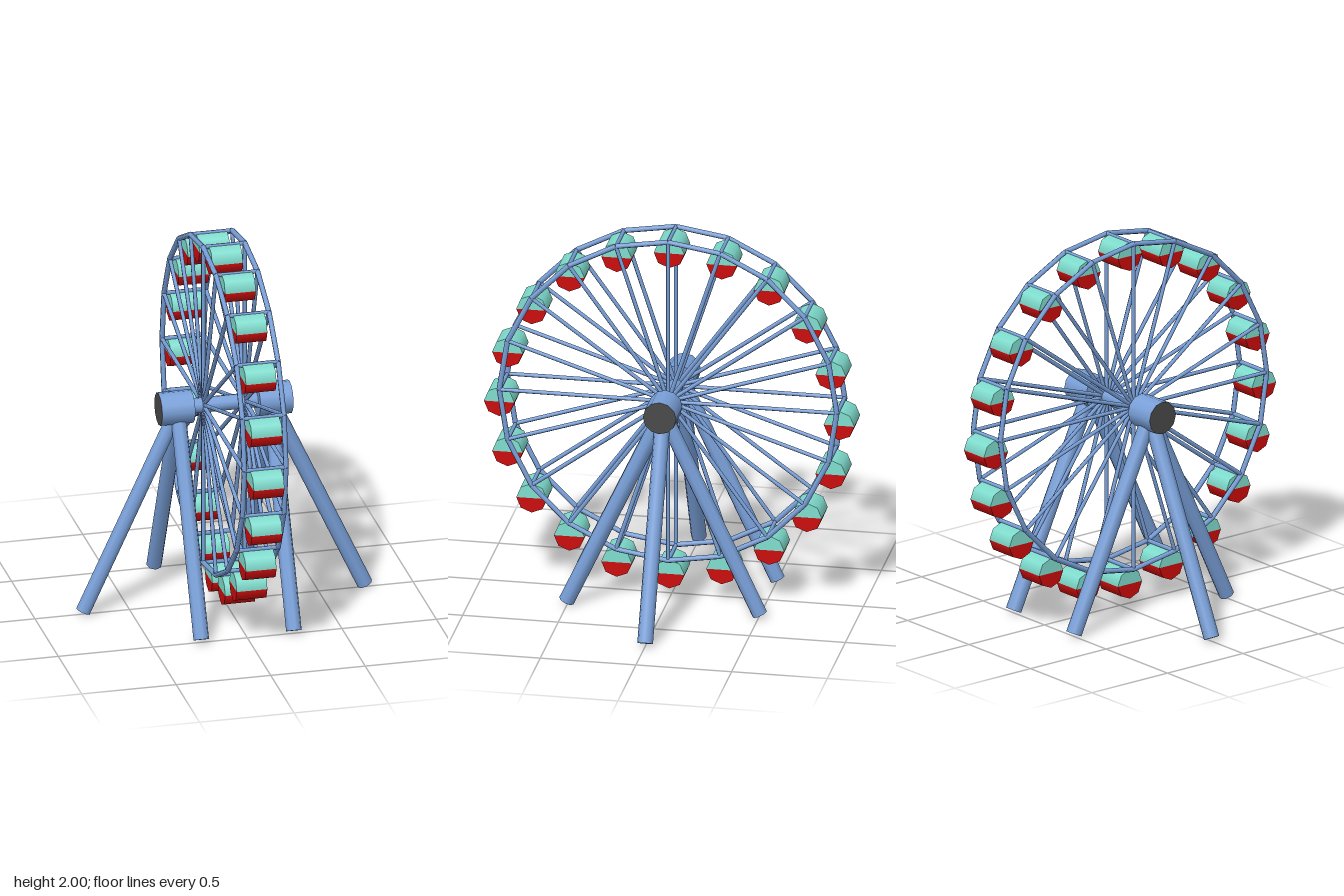
import * as THREE from 'three';

const COUNT = 20;        // spokes, rim corners and cabins
const AXLE_Y = 1.106;    // height of the wheel centre
const RIM_R = 0.882;
const RIM_X = 0.11;      // half the distance between the two rims
const CABIN_R = 0.08;
const CABIN_DROP = 0.08; // cabins hang below the rim corners

const mat = (name, color) => {
  const m = new THREE.MeshStandardMaterial({ color });
  m.name = name;
  return m;
};

export function createModel() {
  const blue = mat('steelBlue', 0x7aa1da);
  const dark = mat('darkGrey', 0x4a4a4a);
  const teal = mat('teal', 0x80decf);
  const red = mat('red', 0xcc0c0c);

  const model = new THREE.Group();
  model.name = 'ferrisWheel';

  const up = new THREE.Vector3(0, 1, 0);

  // round bar between two points
  const bar = (parent, name, a, b, r, sides, material = blue) => {
    const dir = b.clone().sub(a);
    const geo = new THREE.CylinderGeometry(r, r, dir.length(), sides);
    const mesh = new THREE.Mesh(geo, material);
    mesh.name = name;
    mesh.position.copy(a).add(b).multiplyScalar(0.5);
    mesh.quaternion.setFromUnitVectors(up, dir.normalize());
    parent.add(mesh);
  };

  const v = (x, y, z) => new THREE.Vector3(x, y, z);
  const corner = (x, i, r = RIM_R) => {
    const a = (i / COUNT) * Math.PI * 2;
    return v(x, AXLE_Y + r * Math.cos(a), r * Math.sin(a));
  };

  // wheel: two polygonal rims with spokes, joined by cross bars
  const wheel = new THREE.Group();
  wheel.name = 'wheel';
  model.add(wheel);
  for (let i = 0; i < COUNT; i++) {
    for (const x of [-RIM_X, RIM_X]) {
      bar(wheel, 'rimSegment', corner(x, i), corner(x, i + 1), 0.014, 6);
      bar(wheel, 'spoke', v(x, AXLE_Y, 0), corner(x, i), 0.011, 6);
    }
    bar(wheel, 'crossBar', corner(-RIM_X, i), corner(RIM_X, i), 0.011, 6);
  }
  bar(wheel, 'axle', v(-0.2, AXLE_Y, 0), v(0.2, AXLE_Y, 0), 0.04, 12);

  // cabins: octagonal drums lying along x, teal roof half and red lower half
  const half = (start) => new THREE.CylinderGeometry(
    CABIN_R, CABIN_R, 0.162, 4, 1, false, start, Math.PI).rotateZ(Math.PI / 2);
  const lowerGeo = half(Math.PI);
  const roofGeo = half(0);
  // the half whose vertices lie above the centre is the roof
  roofGeo.computeBoundingBox();
  const swap = roofGeo.boundingBox.max.y < CABIN_R / 2;
  for (let i = 0; i < COUNT; i++) {
    const cabin = new THREE.Group();
    cabin.name = 'cabin';
    cabin.position.copy(corner(0, i, 0.888));
    cabin.position.y -= CABIN_DROP;
    const roof = new THREE.Mesh(swap ? lowerGeo : roofGeo, teal);
    roof.name = 'cabinRoof';
    const tub = new THREE.Mesh(swap ? roofGeo : lowerGeo, red);
    tub.name = 'cabinTub';
    cabin.add(roof, tub);
    model.add(cabin);
  }

  // supports on both sides: hub with dark outer cap and three legs
  for (const s of [-1, 1]) {
    const support = new THREE.Group();
    support.name = s > 0 ? 'leftSupport' : 'rightSupport';
    bar(support, 'hub', v(s * 0.172, AXLE_Y, 0), v(s * 0.347, AXLE_Y, 0),
      0.087, 12, [blue, dark, blue]);
    const top = v(s * 0.245, AXLE_Y - 0.01, 0);
    bar(support, 'frontLeg', v(s * 0.245, 0.018, 0.505), top, 0.041, 8);
    bar(support, 'backLeg', v(s * 0.245, 0.018, -0.505), top, 0.041, 8);
    bar(support, 'sideLeg', v(s * 0.745, 0.018, 0), top, 0.041, 8);
    model.add(support);
  }

  return model;
}
